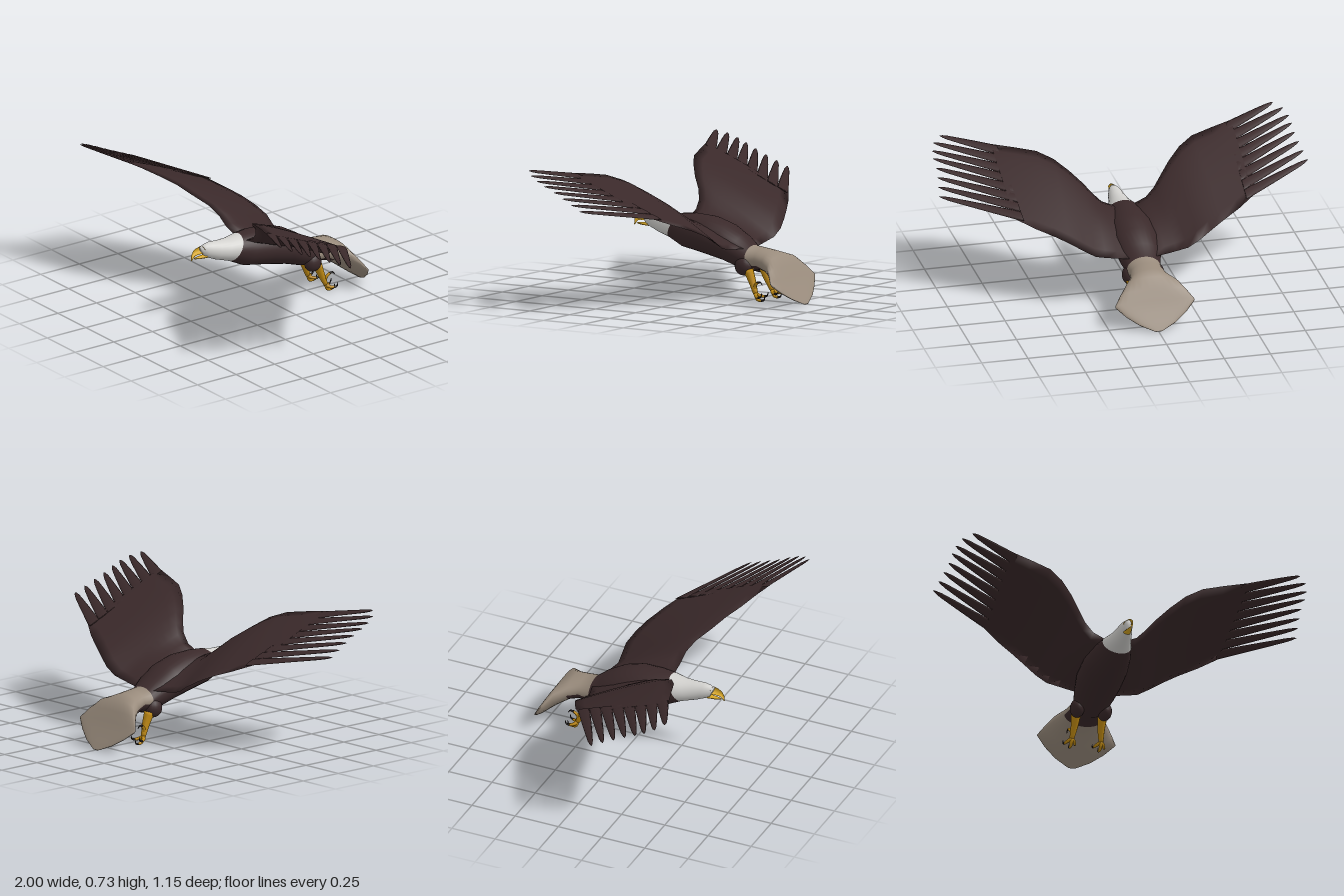
import * as THREE from 'three';

const V = (x, y, z) => new THREE.Vector3(x, y, z);
const material = (name, color, side = THREE.FrontSide) => {
  const m = new THREE.MeshStandardMaterial({ color, side });
  m.name = name;
  return m;
};

// Skin a list of equal rings; pick(i, j) gives the material slot of each face.
function loft(rings, pick = () => 0) {
  const middle = (ring) => {
    const c = V(0, 0, 0);
    ring.forEach((p) => c.add(p));
    c.divideScalar(ring.length);
    return ring.map(() => c);
  };
  const all = [middle(rings[0]), ...rings, middle(rings[rings.length - 1])];
  const n = rings[0].length;
  const slots = [];
  for (let i = 0; i < all.length - 1; i++) {
    for (let j = 0; j < n; j++) {
      const k = (j + 1) % n;
      const a = i * n + j, b = i * n + k, c = a + n, d = b + n;
      const list = (slots[pick(i - 1, j / n)] ??= []);
      if (i > 0) list.push(a, b, c);
      else list.push(b, d, c);
      if (i > 0 && i < all.length - 2) list.push(b, d, c);
    }
  }
  const g = new THREE.BufferGeometry().setFromPoints(all.flat());
  const index = [];
  slots.forEach((list, s) => {
    g.addGroup(index.length, list.length, s);
    for (const v of list) index.push(v);
  });
  g.setIndex(index);
  g.computeVertexNormals();
  return g;
}

// Cross-section from its top point, bottom point, half width and the height fraction of its widest line.
function section([zt, yt, zb, yb, w, edge = 0.5], n = 28) {
  const power = Math.log(edge) / Math.log(0.5);
  return Array.from({ length: n }, (_, j) => {
    const a = ((j + 0.5) / n) * Math.PI * 2;
    const c = ((1 - Math.cos(a)) / 2) ** power;
    return V(w * Math.sin(a), yt + (yb - yt) * c, zt + (zb - zt) * c);
  });
}

// Round limb that tapers along a curve.
function taper(points, radii, steps = 8, sides = 8) {
  const curve = new THREE.CatmullRomCurve3(points);
  const { normals, binormals } = curve.computeFrenetFrames(steps);
  const rings = [];
  for (let i = 0; i <= steps; i++) {
    const r = THREE.MathUtils.lerp(radii[0], radii[1], i / steps);
    const p = curve.getPointAt(i / steps);
    rings.push(Array.from({ length: sides }, (_, j) => {
      const a = (j / sides) * Math.PI * 2;
      return p.clone().addScaledVector(normals[i], r * Math.cos(a)).addScaledVector(binormals[i], r * Math.sin(a));
    }));
  }
  return loft(rings);
}

export function createModel() {
  const model = new THREE.Group();
  model.name = 'bird';
  const brown = material('dark brown plumage', 0x3a292a, THREE.DoubleSide);
  const white = material('white head plumage', 0xd2d1ce);
  const tan = material('pale tail plumage', 0x998b7c);
  const yellow = material('beak yellow', 0xd9a826);
  const orange = material('leg orange', 0xc08a12);
  const black = material('claw black', 0x221c1c);
  const add = (name, geometry, mat, parent = model) => {
    const m = new THREE.Mesh(geometry, mat);
    m.name = name;
    parent.add(m);
    return m;
  };

  // Head, body and tail in one skin, front to back
  const sections = [
    [0.44, 0.405, 0.415, 0.348, 0.019],
    [0.41, 0.416, 0.395, 0.336, 0.03],
    [0.38, 0.42, 0.37, 0.326, 0.038],
    [0.32, 0.415, 0.345, 0.315, 0.047],
    [0.255, 0.415, 0.31, 0.304, 0.06],
    [0.19, 0.424, 0.265, 0.29, 0.078],
    [0.11, 0.43, 0.18, 0.248, 0.1],
    [0.0, 0.422, 0.05, 0.225, 0.122],
    [-0.1, 0.39, -0.08, 0.197, 0.124],
    [-0.19, 0.338, -0.17, 0.168, 0.11],
    [-0.25, 0.288, -0.25, 0.15, 0.092],
    [-0.31, 0.28, -0.31, 0.165, 0.088],
    [-0.37, 0.27, -0.37, 0.148, 0.106],
    [-0.43, 0.25, -0.43, 0.108, 0.15, 0.42],
    [-0.465, 0.195, -0.465, 0.082, 0.185, 0.3],
    [-0.495, 0.14, -0.495, 0.06, 0.216, 0.18],
    [-0.525, 0.09, -0.525, 0.038, 0.165, 0.2],
    [-0.555, 0.045, -0.555, 0.018, 0.1, 0.3],
    [-0.58, 0.004, -0.58, 0.0, 0.02],
  ];
  add('body', loft(sections.map((s) => section(s)), (i, t) => {
    if (i < 5) return 0;
    if (i < 10) return 1;
    return i < 12 && Math.abs(t - 0.5) < 0.18 ? 1 : 2;
  }), [white, brown, tan]);

  // Hooked beak
  add('upperBeak', loft([
    [0.43, 0.409, 0.412, 0.366, 0.024],
    [0.46, 0.403, 0.455, 0.366, 0.017],
    [0.482, 0.391, 0.475, 0.363, 0.012],
    [0.496, 0.37, 0.486, 0.352, 0.007],
    [0.499, 0.342, 0.495, 0.338, 0.002],
  ].map((s) => section(s, 12)).reverse().map((r) => r.reverse())), yellow);
  add('lowerBeak', loft([
    [0.478, 0.352, 0.478, 0.345, 0.004],
    [0.45, 0.354, 0.45, 0.34, 0.012],
    [0.405, 0.357, 0.405, 0.338, 0.02],
  ].map((s) => section(s, 12))), yellow);

  // Wing stations: leading edge, trailing edge, thickness
  const stations = [
    [V(0.05, 0.40, 0.185), V(0.05, 0.275, -0.24), 0.04],
    [V(0.12, 0.43, 0.19), V(0.13, 0.278, -0.22), 0.04],
    [V(0.165, 0.475, 0.2), V(0.19, 0.282, -0.206), 0.036],
    [V(0.21, 0.525, 0.235), V(0.25, 0.298, -0.214), 0.032],
    [V(0.27, 0.577, 0.295), V(0.31, 0.335, -0.216), 0.028],
    [V(0.34, 0.628, 0.35), V(0.38, 0.375, -0.192), 0.024],
    [V(0.42, 0.66, 0.4), V(0.455, 0.41, -0.158), 0.02],
    [V(0.53, 0.678, 0.435), V(0.55, 0.445, -0.108), 0.016],
    [V(0.65, 0.693, 0.475), V(0.645, 0.485, -0.045), 0.01],
  ];
  const tips = [
    [0.9, 0.57], [0.945, 0.53], [0.965, 0.48], [0.97, 0.43],
    [0.97, 0.37], [0.978, 0.31], [0.988, 0.25], [0.998, 0.19],
  ];
  const vane = [[-0.12, 0.034], [0, 0.036], [0.3, 0.03], [0.6, 0.023], [0.85, 0.016], [0.95, 0.009], [1, 0.001]];
  const chordSteps = 10;

  for (const [label, s] of [['left', 1], ['right', -1]]) {
    const mirrored = (ring) => (s > 0 ? ring : ring.map((p) => V(-p.x, p.y, p.z)).reverse());

    // Cambered wing
    const wing = new THREE.Group();
    wing.name = label + 'Wing';
    model.add(wing);
    add(label + 'WingSurface', loft(stations.map(([lead, trail, thick]) => {
      const at = (u, up) => {
        const p = lead.clone().lerp(trail, u);
        p.y += 0.035 * thick * 25 * u * (1 - u) + up * thick * 1.3 * Math.sqrt(u) * (1 - u);
        return p;
      };
      const ring = [];
      for (let k = 0; k < chordSteps; k++) ring.push(at(1 - k / chordSteps, 1));
      for (let k = 0; k < chordSteps; k++) ring.push(at(k / chordSteps, -1));
      return mirrored(ring);
    })), brown, wing);

    // Separated flight feathers
    const [lead, trail] = stations[stations.length - 1];
    const chord = lead.clone().sub(trail).normalize();
    tips.forEach(([x, z], k) => {
      const base = lead.clone().lerp(trail, (k + 0.5) / 8);
      const tip = V(x, THREE.MathUtils.mapLinear(z, 0.19, 0.57, 0.55, 0.725), z);
      const rings = vane.map(([t, w]) => {
        const c = base.clone().lerp(tip, t);
        return mirrored(Array.from({ length: 8 }, (_, j) => {
          const a = (j / 8) * Math.PI * 2;
          const p = c.clone().addScaledVector(chord, -w * Math.cos(a));
          p.y += Math.min(0.005, w * 0.4) * Math.sin(a);
          return p;
        }));
      });
      add(label + 'Feather' + (k + 1), loft(rings), brown, wing);
    });

    // Leg with feathered thigh, shank, toes and curved claws
    const leg = new THREE.Group();
    leg.name = label + 'Leg';
    model.add(leg);
    const thigh = add(label + 'Thigh', new THREE.SphereGeometry(1, 16, 12), brown, leg);
    thigh.scale.set(0.038, 0.05, 0.05);
    thigh.position.set(s * 0.075, 0.185, -0.235);
    add(label + 'Shank', taper([V(s * 0.072, 0.165, -0.265), V(s * 0.073, 0.11, -0.288), V(s * 0.08, 0.045, -0.315)], [0.027, 0.013]), orange, leg);
    for (const dx of [-0.028, 0, 0.028]) {
      const lift = Math.abs(dx) * 0.7;
      const X = (f) => s * (0.08 + dx * f);
      add(label + 'Toe', taper([V(X(0), 0.045, -0.315), V(X(0.6), 0.014 + lift, -0.328), V(X(1), 0.01 + lift, -0.352)], [0.011, 0.007]), orange, leg);
      add(label + 'Claw', taper([V(X(1), 0.01 + lift, -0.35), V(X(1.1), 0.015 + lift, -0.367), V(X(1.1), 0.036 + lift, -0.373)], [0.007, 0.001]), black, leg);
    }
    add(label + 'HindToe', taper([V(s * 0.078, 0.055, -0.308), V(s * 0.085, 0.088, -0.315), V(s * 0.09, 0.107, -0.335)], [0.01, 0.007]), orange, leg);
    add(label + 'HindClaw', taper([V(s * 0.09, 0.106, -0.333), V(s * 0.092, 0.109, -0.352), V(s * 0.092, 0.094, -0.365)], [0.007, 0.001]), black, leg);
  }
  return model;
}
